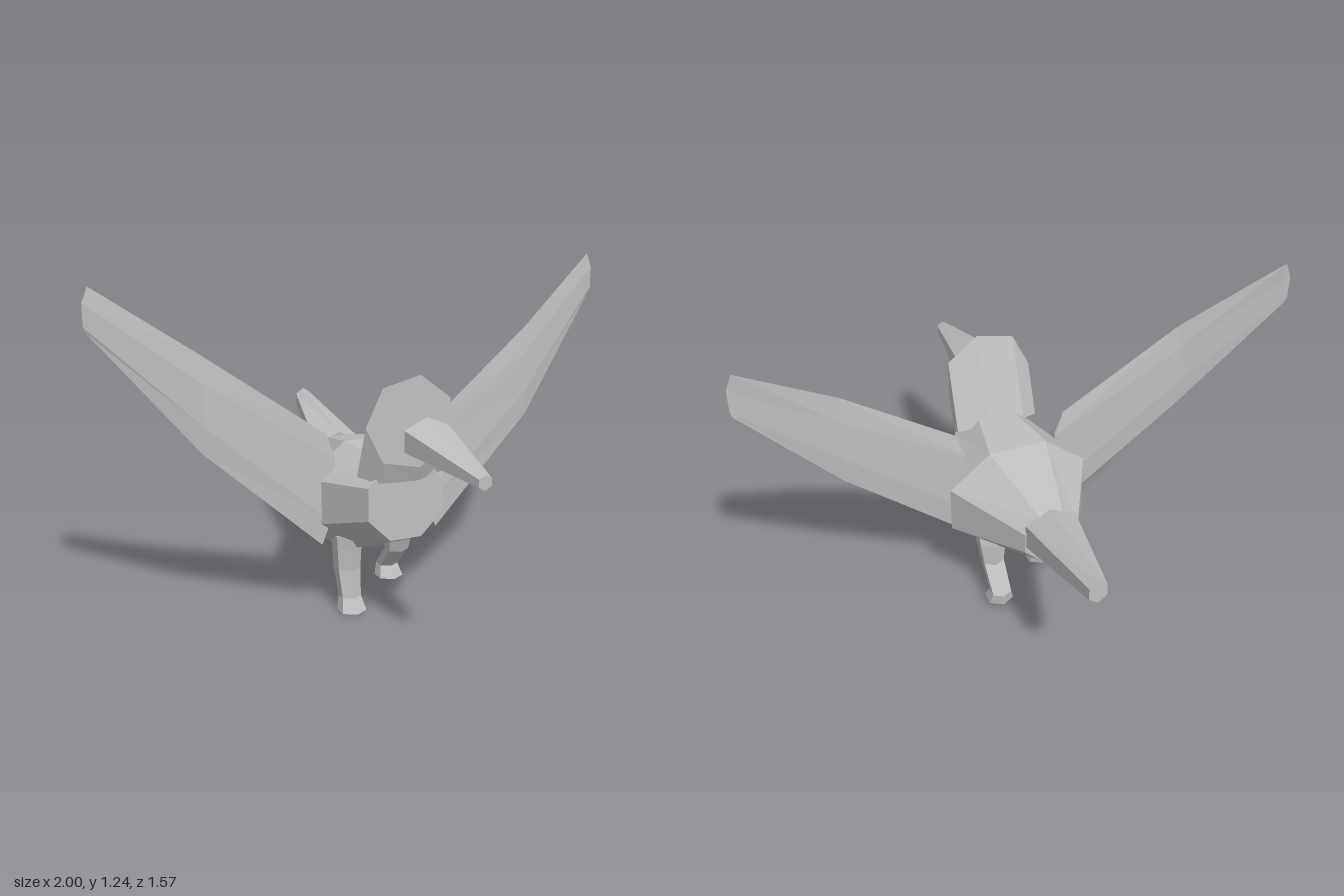
import * as THREE from 'three';

// Closed faceted solid through a list of rings with equal point counts
function loft(rings) {
  const n = rings[0].length, tris = [];
  for (let r = 0; r < rings.length - 1; r++) {
    for (let i = 0; i < n; i++) {
      const j = (i + 1) % n, a = rings[r], b = rings[r + 1];
      tris.push([a[i], a[j], b[j]], [a[i], b[j], b[i]]);
    }
  }
  const last = rings[rings.length - 1];
  for (let i = 1; i < n - 1; i++) {
    tris.push([rings[0][0], rings[0][i + 1], rings[0][i]], [last[0], last[i], last[i + 1]]);
  }
  // Turn the faces outward, judged by the enclosed volume
  const volume = tris.reduce((s, [a, b, c]) => s + a.dot(b.clone().cross(c)), 0);
  const pts = tris.flatMap(([a, b, c]) => (volume < 0 ? [a, c, b] : [a, b, c]));
  const g = new THREE.BufferGeometry().setFromPoints(pts);
  g.computeVertexNormals();
  return g;
}

// Regular ring: centre c, with vectors u and v as its two half axes
function ring(n, c, u, v, start = 0) {
  return Array.from({ length: n }, (_, i) => {
    const a = start + (i * 2 * Math.PI) / n;
    return new THREE.Vector3(...c)
      .addScaledVector(new THREE.Vector3(...u), Math.cos(a))
      .addScaledVector(new THREE.Vector3(...v), Math.sin(a));
  });
}

// Upright ring facing z
const slice = (n, x, y, z, rx, ry, start) => ring(n, [x, y, z], [rx, 0, 0], [0, ry, 0], start);

// Thin wing: each station lists [x, y] from top edge to bottom edge
function wing(side) {
  const stations = [
    { z: 0.055, t: 0.008, p: [[0.21, 0.685], [0.18, 0.59], [0.2, 0.36], [0.23, 0.27]] },
    { z: -0.005, t: 0.008, p: [[0.635, 0.995], [0.638, 0.9], [0.642, 0.75], [0.645, 0.65]] },
    { z: -0.12, t: 0.002, p: [[0.977, 1.235], [0.998, 1.18], [0.998, 1.1], [0.991, 1.08]] },
  ];
  return loft(stations.map(({ z, t, p }) => {
    const at = (i, dz) => new THREE.Vector3(side * p[i][0], p[i][1], z + dz);
    return [at(0, 0), at(1, t), at(2, t), at(3, 0), at(2, -t), at(1, -t)];
  }));
}

// Six-sided leg through stations [y, z, radius]
const leg = (x, stations) =>
  loft(stations.map(([y, z, r]) => ring(6, [x, y, z], [0, 0, r], [r, 0, 0])));

export function createModel() {
  const model = new THREE.Group();
  model.name = 'bird';
  const grey = new THREE.MeshStandardMaterial({ color: 0xbfbfbf });
  grey.name = 'plain grey';
  const add = (name, geometry) => {
    const mesh = new THREE.Mesh(geometry, grey);
    mesh.name = name;
    model.add(mesh);
  };

  // Flat-topped eight-sided body: breast, middle, rump
  const k = 1 / Math.cos(Math.PI / 8);
  add('body', loft([
    [0.478, 0.27, 0.145, 0.145],
    [0.415, -0.02, 0.265, 0.212],
    [0.455, -0.34, 0.1, 0.095],
  ].map(([y, z, hx, hy]) => slice(8, 0, y, z, hx * k, hy * k, Math.PI / 8))));

  // Seven-sided head, bending down into the body
  add('head', loft([
    slice(7, 0, 0.765, 0.3, 0.168, 0.168, Math.PI),
    ring(7, [0, 0.573, 0.23], [0.17, 0, 0], [0, 0.028, -0.05], Math.PI),
  ]));

  // Six-sided tapering beak and tail
  add('beak', loft([
    slice(6, 0, 0.74, 0.42, 0.096, 0.075, Math.PI / 2),
    slice(6, 0.015, 0.695, 0.785, 0.026, 0.026, Math.PI / 2),
  ]));
  add('tail', loft([
    ring(6, [0, 0.48, -0.332], [0.11, 0, 0], [0, 0.09, 0.008], Math.PI / 2),
    slice(6, 0.031, 0.593, -0.785, 0.037, 0.046, Math.PI / 2),
  ]));

  add('leftWing', wing(1));
  add('rightWing', wing(-1));

  // Left leg trails back, right leg steps forward
  add('leftLeg', leg(0.12, [
    [0.29, -0.03, 0.06], [0.25, -0.04, 0.058], [0.16, -0.055, 0.045], [0.07, -0.14, 0.042], [0.025, -0.123, 0.055],
  ]));
  add('rightLeg', leg(-0.12, [
    [0.29, 0.02, 0.06], [0.24, 0.02, 0.055], [0.155, 0.022, 0.05], [0.05, 0.045, 0.042], [0, 0.065, 0.055],
  ]));
  return model;
}
